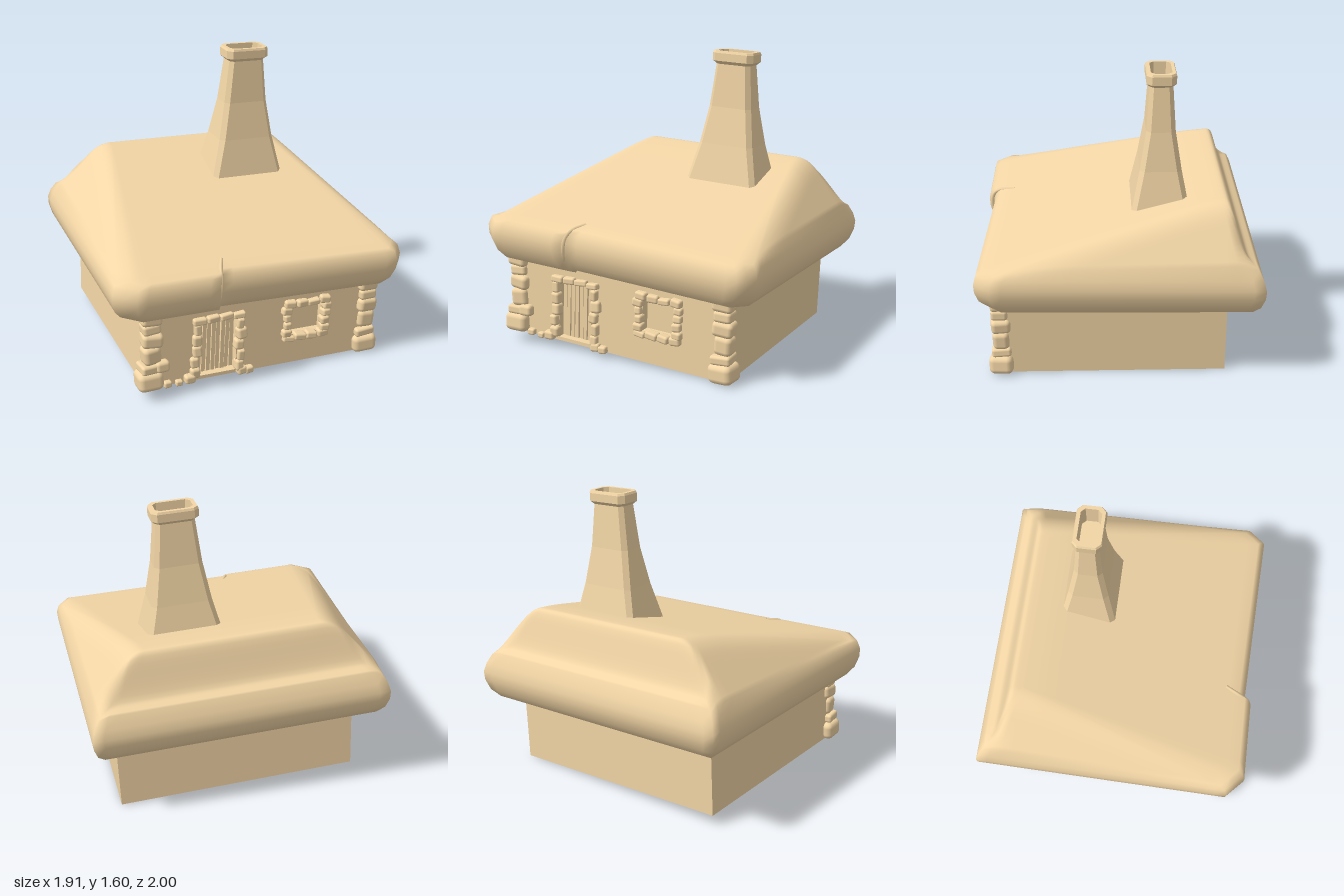
import * as THREE from 'three';
import { RoundedBoxGeometry } from 'three/addons/geometries/RoundedBoxGeometry.js';

const COLOR = 0xf3d6a6;
const smooth = new THREE.MeshStandardMaterial({ color: COLOR, side: THREE.DoubleSide });
const flat = new THREE.MeshStandardMaterial({ color: COLOR, side: THREE.DoubleSide, flatShading: true });

let seed = 7;
const rnd = () => ((seed = (seed * 16807) % 2147483647) / 2147483647) - 0.5;
const { lerp, clamp, smoothstep } = THREE.MathUtils;

// Skin closed loops of [x, y, z] points stacked on each other
function loft(rings) {
  const n = rings[0].length, index = [];
  for (let r = 0; r < rings.length - 1; r++)
    for (let i = 0; i < n; i++) {
      const a = r * n + i, b = r * n + (i + 1) % n;
      index.push(a, b, b + n, a, b + n, a + n);
    }
  const g = new THREE.BufferGeometry();
  g.setAttribute('position', new THREE.Float32BufferAttribute(rings.flat(2), 3));
  g.setIndex(index);
  g.computeVertexNormals();
  return g;
}

function add(parent, name, geometry, material, x = 0, y = 0, z = 0) {
  const m = new THREE.Mesh(geometry, material);
  m.name = name;
  m.position.set(x, y, z);
  parent.add(m);
  return m;
}

function addGroup(parent, name) {
  const g = new THREE.Group();
  g.name = name;
  parent.add(g);
  return g;
}

// One rounded, slightly crooked stone
function stone(parent, x, y, z, sx, sy, sz) {
  const g = new RoundedBoxGeometry(sx, sy, sz, 2, Math.min(sx, sy, sz) * 0.3);
  const m = add(parent, 'stone', g, smooth, x, y, z);
  m.rotation.set(rnd() * 0.25, rnd() * 0.25, rnd() * 0.2);
}

const softMin = (a, b, k = 0.05) => {
  const h = Math.max(k - Math.abs(a - b), 0) / k;
  return Math.min(a, b) - h * h * k * 0.25;
};

// Height of the thatch: long slope to +x, steep slopes on the other sides
function roofHeight(x, z) {
  const main = softMin(0.985, 0.975 - 0.24 * (x + 0.5));
  const dl = x + 0.75;
  const left = 0.685 + 0.5 * dl + 0.225 * smoothstep(dl, 0.09, 0.2);
  const front = 0.645 + 1.15 * (0.845 - z), back = 0.66 + 1.18 * (z + 0.8);
  return softMin(softMin(main, left), softMin(front, back), 0.08);
}

function buildRoof() {
  const corners = [[-0.75, 0.825], [0.67, 0.86], [0.765, 0.76], [0.765, 0.31], [0.728, 0.29],
    [0.765, -0.73], [0.68, -0.8], [-0.745, -0.79]];
  const outline = [];
  corners.forEach(([x, z], i) => {
    const [x2, z2] = corners[(i + 1) % corners.length];
    const steps = Math.max(1, Math.round(Math.hypot(x2 - x, z2 - z) / 0.06));
    for (let k = 0; k < steps; k++) outline.push([lerp(x, x2, k / steps), lerp(z, z2, k / steps)]);
  });
  const inset = (d) => outline.map(([x, z]) => [x * (1 - d / 0.76), 0.02 + (z - 0.02) * (1 - d / 0.82)]);
  // underside and rolled eave, a little higher over the door wall
  const rings = [[0.17, 0.445], [0.1, 0.433], [0.06, 0.447], [0.022, 0.495], [0.003, 0.555], [0, 0.605], [0.014, 0.655]]
    .map(([d, y]) => inset(d).map(([x, z]) => [x, y + 0.018 * x, z]));
  // slopes closing on the ridge
  const edge = inset(0.04), N = 18;
  for (let k = 0; k <= N; k++)
    rings.push(edge.map(([x, z]) => {
      const px = lerp(x, -0.5, k / N), pz = lerp(z, clamp(z, -0.44, 0.49), k / N);
      return [px, roofHeight(px, pz), pz];
    }));
  return loft(rings);
}

// Rectangle with cut corners
function cutRect(hx, hz, y, c) {
  return [[-hx + c, hz], [hx - c, hz], [hx, hz - c], [hx, -hz + c], [hx - c, -hz], [-hx + c, -hz], [-hx, -hz + c], [-hx, hz - c]]
    .map(([x, z]) => [x, y, z]);
}

// Rectangular path on the door wall
function rectPath(z0, z1, y0, y1, Type = THREE.Path) {
  const p = new Type();
  p.moveTo(-z0, y0).lineTo(-z1, y0).lineTo(-z1, y1).lineTo(-z0, y1).closePath();
  return p;
}

export function createModel() {
  seed = 7;
  const root = new THREE.Group();
  root.name = 'cottage';
  const house = addGroup(root, 'house');
  house.rotation.set(-0.042, -0.305, 0, 'YXZ');

  const X0 = -0.565, X1 = 0.66, Z0 = -0.655, Z1 = 0.675, Y0 = 0.03, Y1 = 0.5;
  const door = [0.16, 0.38, 0.05, 0.375], win = [-0.35, -0.15, 0.205, 0.385];

  // Walls: three plain ones, and one pierced by door and window
  const walls = addGroup(house, 'walls');
  const h = Y1 - Y0, yc = (Y0 + Y1) / 2, xc = (X0 + X1) / 2, zc = (Z0 + Z1) / 2;
  add(walls, 'frontWall', new THREE.PlaneGeometry(X1 - X0, h), flat, xc, yc, Z1);
  add(walls, 'backWall', new THREE.PlaneGeometry(X1 - X0, h), flat, xc, yc, Z0).rotation.y = Math.PI;
  add(walls, 'plainSideWall', new THREE.PlaneGeometry(Z1 - Z0, h), flat, X0, yc, zc).rotation.y = -Math.PI / 2;
  const shape = rectPath(Z0, Z1, Y0, Y1, THREE.Shape);
  shape.holes.push(rectPath(...door), rectPath(...win));
  add(walls, 'doorWall', new THREE.ShapeGeometry(shape), flat, X1, 0, 0).rotation.y = Math.PI / 2;

  // Recesses behind both openings, closed at the back
  function recess(name, [z0, z1, y0, y1], depth) {
    const g = addGroup(house, name);
    add(g, 'reveal', loft([X1, X1 - depth].map((x) =>
      [[x, y0, z0], [x, y0, z1], [x, y1, z1], [x, y1, z0]])), flat);
    add(g, 'backPanel', new THREE.PlaneGeometry(z1 - z0, y1 - y0), flat,
      X1 - depth, (y0 + y1) / 2, (z0 + z1) / 2).rotation.y = Math.PI / 2;
  }
  recess('doorRecess', door, 0.08);
  recess('windowRecess', win, 0.05);

  // Plank door
  const planks = addGroup(house, 'door');
  const dh = door[3] - door[2], dy = (door[2] + door[3]) / 2;
  for (let i = 0; i < 8; i++)
    add(planks, 'plank', new THREE.BoxGeometry(0.025, dh - 0.01, 0.022), flat,
      X1 - 0.045 + rnd() * 0.012, dy, door[0] + 0.015 + i * 0.027).rotation.x = rnd() * 0.03;

  // Corner stones on the door wall
  for (const [name, z, s] of [['frontCornerStones', Z1, -1], ['backCornerStones', Z0, 1]]) {
    const g = addGroup(house, name);
    const heights = [0.105, 0.05, 0.105, 0.08, 0.06, 0.075];
    let y = Y0;
    heights.forEach((sy, i) => {
      const w = i === 0 ? 0.13 : 0.09 + (i % 2) * 0.015;
      stone(g, X1 - 0.016 + rnd() * 0.012, y + sy / 2, z + s * (0.03 + rnd() * 0.015), w, sy, w + 0.01);
      y += sy - 0.003;
    });
  }

  // Stone surrounds: jambs beside, courses above and below
  function surround(name, [z0, z1, y0, y1], jambs, top, bottom) {
    const g = addGroup(house, name);
    const sy = (y1 - y0) / jambs;
    for (const z of [z0 - 0.018, z1 + 0.018])
      for (let i = 0; i < jambs; i++)
        stone(g, X1 + 0.003, y0 + (i + 0.5) * sy, z + rnd() * 0.016, 0.055, sy * (0.98 + rnd() * 0.14), 0.05 + rnd() * 0.025);
    const course = (n, y) => {
      const sz = (z1 - z0 + 0.08) / n;
      for (let i = 0; i < n; i++)
        stone(g, X1 + 0.003, y + rnd() * 0.008, z0 - 0.04 + (i + 0.5) * sz, 0.055, 0.04 + rnd() * 0.014, sz * (0.97 + rnd() * 0.12));
    };
    course(top, y1 + 0.016);
    if (bottom) course(bottom, y0 - 0.012);
  }
  surround('doorStones', door, 5, 4, 0);
  surround('windowStones', win, 4, 4, 4);

  // Loose stones at the foot of the wall
  const loose = addGroup(house, 'looseStones');
  for (const [z, y, s] of [[0.085, 0.045, 0.045], [0.13, 0.05, 0.05], [0.43, 0.055, 0.055], [0.49, 0.04, 0.035],
    [0.555, 0.045, 0.04], [0.59, 0.165, 0.07]])
    stone(loose, X1 + 0.01, y, z, s, s * 0.9, s * 1.1);

  // Thatched roof
  add(house, 'roof', buildRoof(), smooth);

  // Raised seam wrapping the eave over the door
  const seam = new THREE.CatmullRomCurve3([[0.69, 0.47, 0.31], [0.73, 0.52, 0.307], [0.746, 0.6, 0.303], [0.732, 0.655, 0.298],
    [0.69, 0.685, 0.285], [0.61, 0.702, 0.25]].map((p) => new THREE.Vector3(...p)));
  add(house, 'roofSeam', new THREE.TubeGeometry(seam, 20, 0.012, 6), smooth);

  // Flared chimney with a collar and a shallow flue
  const flue = [[0.155, 0.215, 0.868, 0.025], [0.112, 0.165, 1.08, 0.026], [0.078, 0.13, 1.29, 0.025], [0.062, 0.105, 1.53, 0.022],
    [0.079, 0.126, 1.548, 0.028], [0.079, 0.126, 1.592, 0.028], [0.074, 0.12, 1.604, 0.026],
    [0.056, 0.1, 1.604, 0.022], [0.053, 0.097, 1.48, 0.022], [0, 0, 1.48, 0]];
  add(house, 'chimney', loft(flue.map((r) => cutRect(...r))), flat, -0.217, 0, -0.2);

  return root;
}
